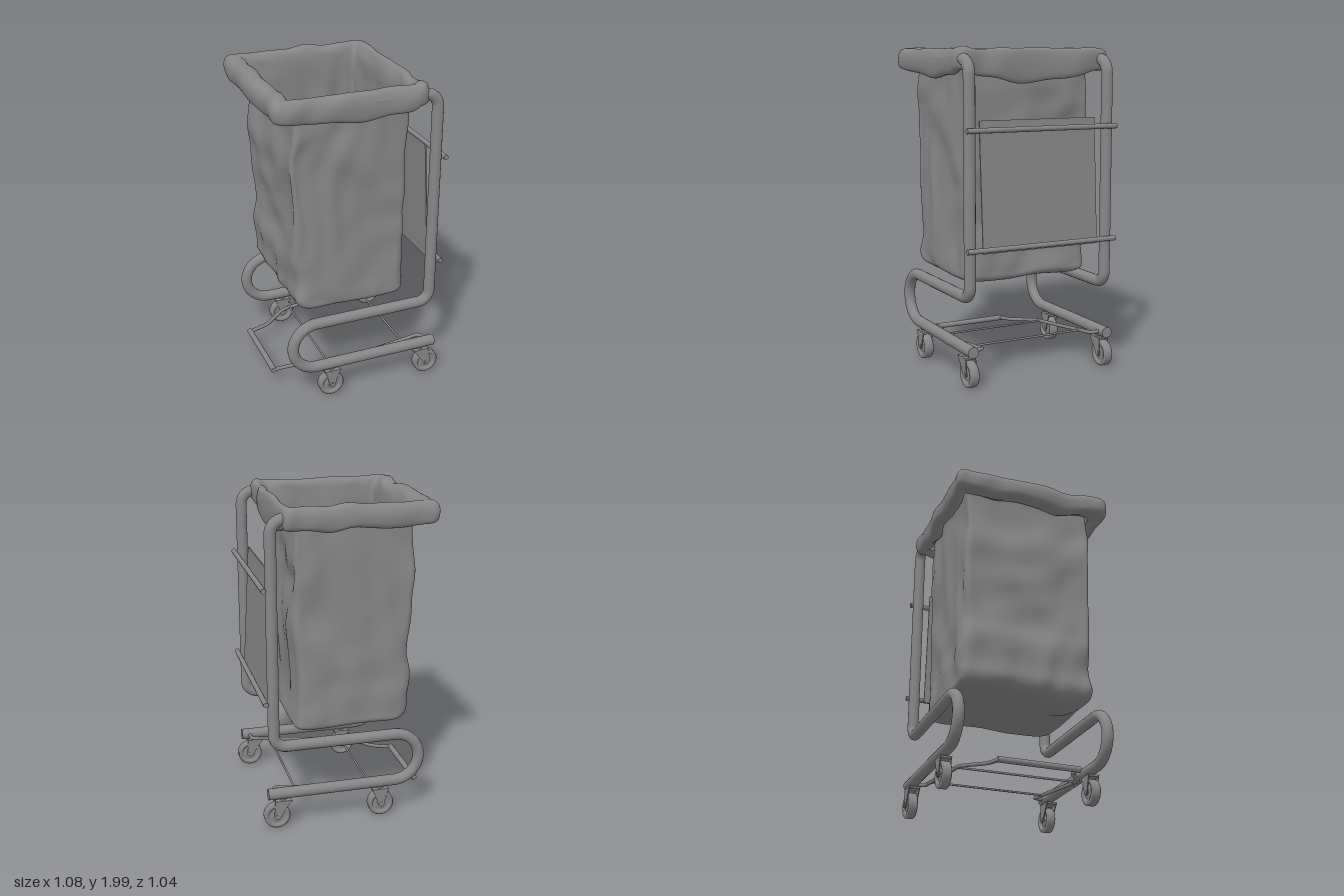
import * as THREE from 'three';

const mat = new THREE.MeshStandardMaterial({ color: 0x868686 });
const clothMat = new THREE.MeshStandardMaterial({ color: 0x868686, side: THREE.DoubleSide });
const V = (x, y, z) => new THREE.Vector3(x, y, z);
const RAILS = [0.468, -0.458];

function add(parent, name, geometry, x = 0, y = 0, z = 0, material = mat) {
  const mesh = new THREE.Mesh(geometry, material);
  mesh.name = name;
  mesh.position.set(x, y, z);
  parent.add(mesh);
  return mesh;
}

// Straight capped rod between two points
function rod(parent, name, a, b, r, sides = 12) {
  const mesh = add(parent, name, new THREE.CylinderGeometry(r, r, a.distanceTo(b), sides));
  mesh.position.copy(a).add(b).multiplyScalar(0.5);
  mesh.quaternion.setFromUnitVectors(V(0, 1, 0), b.clone().sub(a).normalize());
}

// Polyline with rounded corners; each entry is [point, cornerRadius]
function bentPath(entries) {
  const path = new THREE.CurvePath();
  let last = entries[0][0];
  for (let i = 1; i < entries.length; i++) {
    const [p, r] = entries[i];
    if (!r) { path.add(new THREE.LineCurve3(last, p)); last = p; continue; }
    const din = p.clone().sub(entries[i - 1][0]).normalize();
    const dout = entries[i + 1][0].clone().sub(p).normalize();
    const a = p.clone().addScaledVector(din, -r), b = p.clone().addScaledVector(dout, r);
    if (last.distanceTo(a) > 1e-4) path.add(new THREE.LineCurve3(last, a));
    path.add(new THREE.CubicBezierCurve3(a, a.clone().addScaledVector(din, r * 0.5523),
      b.clone().addScaledVector(dout, -r * 0.5523), b));
    last = b;
  }
  return path;
}

// One continuous tube: foot, rear bend, post and top arm on each side, joined under the cuff
function buildFrame(group) {
  const half = (z) => [
    [V(0.51, 0.22, z), 0], [V(-0.445, 0.22, z), 0.155], [V(-0.445, 0.53, z), 0.155],
    [V(0.47, 0.53, z), 0.075], [V(0.47, 1.91, z), 0.085], [V(-0.46, 1.91, z), 0.05],
  ];
  const path = bentPath([...half(RAILS[0]), ...half(RAILS[1]).reverse()]);
  add(group, 'tubeFrame', new THREE.TubeGeometry(path, 480, 0.035, 16));
  for (const z of RAILS)
    rod(group, 'footEndCap', V(0.505, 0.22, z), V(0.512, 0.22, z), 0.035, 16);
  for (const y of [0.82, 1.51])
    rod(group, 'crossBar', V(0.52, y, -0.498), V(0.52, y, 0.508), 0.016);
  // Thin sheet leaning inwards at the top
  add(group, 'sidePanel', new THREE.BoxGeometry(0.008, 0.77, 0.78), 0.465, 1.177, 0.003).rotation.z = 0.06;
}

// Hinged foot pedal made of thin rods
function buildPedal(group) {
  const pedal = new THREE.Group();
  pedal.name = 'footPedal';
  group.add(pedal);
  const at = (x, z) => V(x, 0.165 + 0.12 * x, z + 0.005);
  for (const s of [-1, 1]) {
    const arm = bentPath([[at(0.46, s * 0.44), 0], [at(0.46, s * 0.375), 0.02],
      [at(-0.22, s * 0.375), 0.03], [at(-0.37, s * 0.26), 0.03], [at(-0.5, s * 0.24), 0]]);
    add(pedal, 'pedalArm', new THREE.TubeGeometry(arm, 80, 0.012, 8));
  }
  rod(pedal, 'pedalBar', at(-0.5, -0.25), at(-0.5, 0.25), 0.018);
  for (const x of [0.33, -0.17])
    rod(pedal, 'pedalCrossRod', at(x, -0.37), at(x, 0.37), 0.007, 8);
}

// Caster: tyre with recessed hub, forked bracket and stem
function buildCaster(group, wheelX, stemX, z) {
  const caster = new THREE.Group();
  caster.name = 'caster';
  caster.position.set(wheelX, 0, z);
  group.add(caster);
  const profile = [[0, -0.022], [0.035, -0.022], [0.04, -0.016], [0.052, -0.016], [0.058, -0.028],
    [0.074, -0.028], [0.08, -0.022], [0.08, 0.022], [0.074, 0.028], [0.058, 0.028],
    [0.052, 0.016], [0.04, 0.016], [0.035, 0.022], [0, 0.022]].map((p) => new THREE.Vector2(...p));
  add(caster, 'wheel', new THREE.LatheGeometry(profile, 32), 0, 0.08, 0).rotation.x = Math.PI / 2;
  rod(caster, 'axle', V(0, 0.08, -0.038), V(0, 0.08, 0.038), 0.014);
  const dx = stemX - wheelX;
  const plate = new THREE.Shape();
  plate.moveTo(dx - 0.055, 0.18);
  plate.quadraticCurveTo(dx * 0.6 - 0.025, 0.13, -0.022, 0.075);
  plate.quadraticCurveTo(0, 0.045, 0.022, 0.075);
  plate.quadraticCurveTo(dx * 0.3 + 0.03, 0.13, dx + 0.055, 0.18);
  const cheek = new THREE.ExtrudeGeometry(plate, { depth: 0.005, bevelEnabled: false });
  for (const pz of [-0.035, 0.03]) add(caster, 'fork', cheek, 0, 0, pz);
  add(caster, 'forkTop', new THREE.BoxGeometry(0.1, 0.012, 0.068), dx, 0.175, 0);
  add(caster, 'stem', new THREE.CylinderGeometry(0.022, 0.022, 0.04, 12), dx, 0.19, 0);
}

// Cloth bag: rounded rectangular loops from the cuff's underside, over the rim, down the wall to the floor
function buildBag(group) {
  // [y, xMin, xMax, zHalf, cornerRadius, cuff looseness]
  const keys = [
    [1.865, -0.405, 0.335, 0.425, 0.03, 0.7], [1.84, -0.47, 0.365, 0.465, 0.04, 1],
    [1.855, -0.52, 0.395, 0.505, 0.05, 1], [1.92, -0.532, 0.405, 0.514, 0.06, 0.5],
    [1.967, -0.505, 0.395, 0.492, 0.05, 0.1], [1.972, -0.445, 0.365, 0.45, 0.04, 0],
    [1.94, -0.41, 0.34, 0.422, 0.03, 0], [1.87, -0.395, 0.325, 0.412, 0.03, 0],
    [1.72, -0.395, 0.325, 0.412, 0.03, 0], [1.55, -0.42, 0.32, 0.412, 0.035, 0],
    [1.38, -0.405, 0.325, 0.412, 0.04, 0], [1.2, -0.39, 0.328, 0.412, 0.045, 0],
    [1.03, -0.39, 0.32, 0.412, 0.05, 0], [0.9, -0.41, 0.315, 0.416, 0.055, 0],
    [0.76, -0.39, 0.315, 0.42, 0.06, 0], [0.66, -0.385, 0.322, 0.425, 0.06, 0],
    [0.605, -0.345, 0.32, 0.412, 0.07, 0], [0.582, -0.25, 0.27, 0.34, 0.08, 0],
    [0.58, -0.13, 0.16, 0.2, 0.06, 0], [0.58, -0.02, 0.02, 0.02, 0.01, 0],
  ];
  const spline = (a, b, c) => new THREE.CatmullRomCurve3(
    keys.map((k) => V(k[a], k[b], k[c])), false, 'catmullrom', 0.5);
  const splineA = spline(0, 1, 2), splineB = spline(3, 4, 5);
  const { sin, cos, PI } = Math, { smoothstep } = THREE.MathUtils;
  const rows = (keys.length - 1) * 6, side = 34, arc = 6, around = 4 * (side + arc);
  const wallStart = 7 / (keys.length - 1), floorStart = 15.5 / (keys.length - 1);
  const positions = [], index = [];
  for (let i = 0; i <= rows; i++) {
    const t = i / rows, A = splineA.getPoint(t), B = splineB.getPoint(t);
    const [x0, x1, zh, r, loose] = [A.y, A.z, B.x, B.y, B.z];
    const wall = smoothstep(t, wallStart - 0.04, wallStart + 0.08)
      * (1 - smoothstep(t, floorStart - 0.04, floorStart + 0.06));
    const rim = 1 - smoothstep(t, wallStart - 0.08, wallStart);
    const floor = smoothstep(t, floorStart - 0.06, floorStart + 0.03);
    // Corner centres of this loop
    const corners = [[x1 - r, zh - r], [x0 + r, zh - r], [x0 + r, r - zh], [x1 - r, r - zh]];
    for (let k = 0; k < 4; k++) {
      const [cx, cz] = corners[k], [ex, ez] = corners[(k + 1) % 4];
      for (let j = 0; j < arc + side; j++) {
        const f = Math.max(0, (j - arc) / side);
        const ang = (k + Math.min(1, j / arc)) * PI / 2;
        const nx = cos(ang), nz = sin(ang);
        let x = cx + (ex - cx) * f + nx * r, z = cz + (ez - cz) * f + nz * r, y = A.x;
        const s = (k + (j / (arc + side))) * PI / 2;
        // Irregular hanging folds: broad waves bent by other waves, with fine creases in patches
        const bend = sin(2.1 * y + 2 * s) + 0.7 * sin(5.3 * y - 3 * s + 1);
        const fold = 0.007 * sin(6 * s + 2.5 * y + 2 * bend)
          + 0.007 * sin(8 * y - 4 * s + 1.6 * bend)
          + 0.005 * sin(17 * s + 3 * y + 2.4 * bend) * (0.5 + 0.5 * sin(3 * y + 3 * s))
          + 0.004 * sin(24 * y + 7 * s + 2 * bend) * (0.5 - 0.5 * sin(4 * y + 2 * s));
        // Gathered, uneven hem
        const ripple = 0.007 * sin(5 * s + 2 * sin(3 * s)) + 0.005 * sin(13 * s + 14 * y + 2 * sin(4 * s));
        const d = fold * wall + ripple * rim;
        x += nx * d;
        z += nz * d;
        y += rim * (0.006 * sin(8 * s) + 0.005 * sin(11 * s + 2 * sin(3 * s)));
        const sag = [0.035, 0.01, 0.01, 0.065][k];
        y -= loose * sin(PI * Math.pow(f, k === 0 ? 0.65 : 1)) * (sag + 0.01 * sin(9 * s));
        // Crumpled floor with a sagging pocket towards one corner
        const reach = ((x + 0.23) ** 2 + (z - 0.25) ** 2) / 0.014;
        const pocket = Math.exp(-reach * reach);
        y += floor * (0.006 * sin(9 * x + 4 * z + 2 * sin(5 * z)) - 0.03 * pocket);
        positions.push(x, y, z);
      }
    }
  }
  for (let i = 0; i < rows; i++) for (let j = 0; j < around; j++) {
    const a = i * around + j, b = i * around + (j + 1) % around;
    index.push(a, b, a + around, b, b + around, a + around);
  }
  // Close the small hole in the middle of the floor
  const centre = positions.length / 3;
  positions.push(0, 0.58, 0);
  for (let j = 0; j < around; j++)
    index.push(rows * around + j, rows * around + (j + 1) % around, centre);
  const geometry = new THREE.BufferGeometry();
  geometry.setAttribute('position', new THREE.Float32BufferAttribute(positions, 3));
  geometry.setIndex(index);
  geometry.computeVertexNormals();
  add(group, 'laundryBag', geometry, 0, 0, 0, clothMat);
}

export function createModel() {
  const group = new THREE.Group();
  group.name = 'laundryCart';
  buildFrame(group);
  buildPedal(group);
  for (const z of RAILS) {
    buildCaster(group, -0.2, -0.195, z);
    buildCaster(group, 0.46, 0.42, z);
  }
  buildBag(group);
  return group;
}
